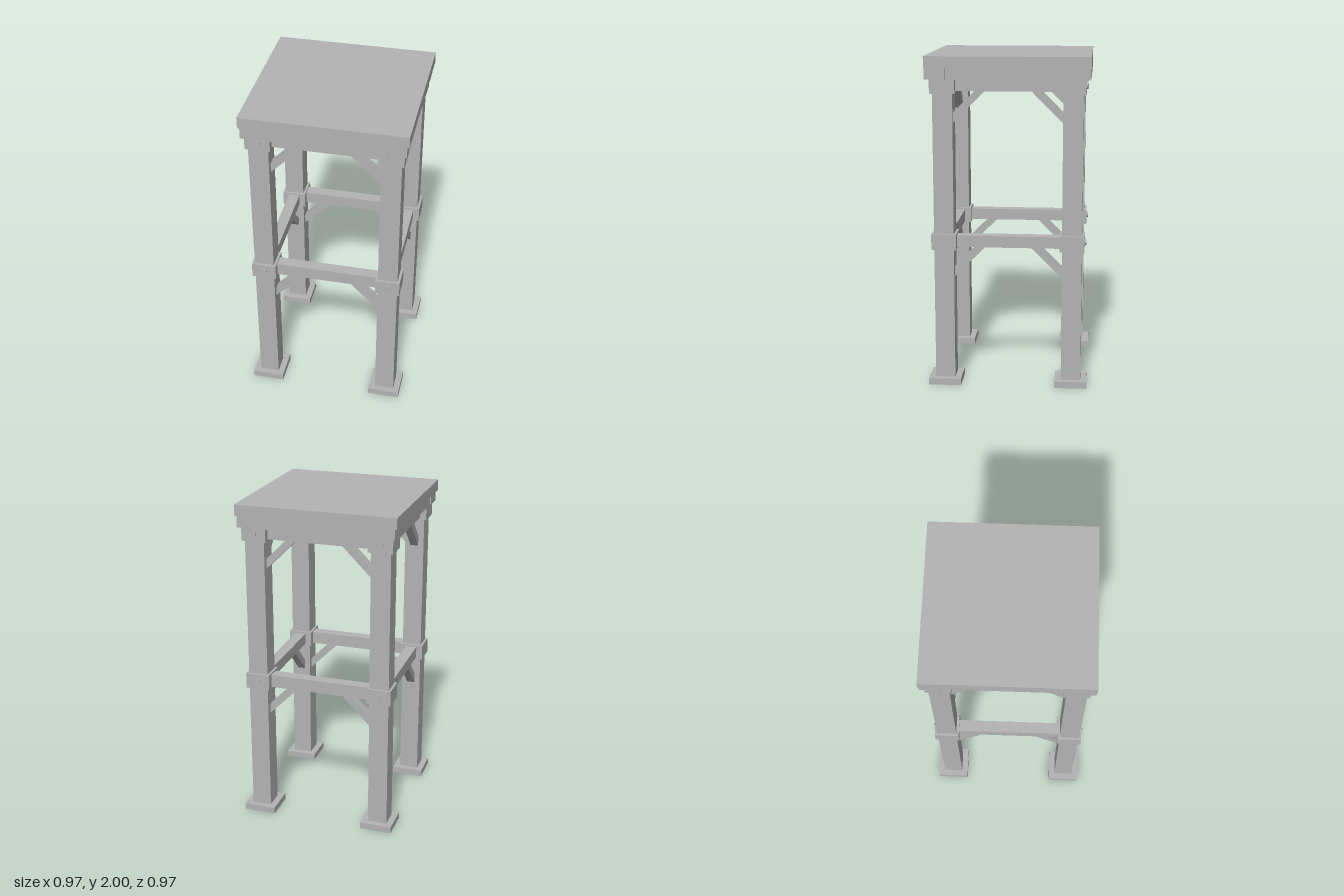
import * as THREE from 'three';

export function createModel() {
  const model = new THREE.Group();
  model.name = 'timberTower';
  const grey = new THREE.MeshStandardMaterial({ color: 0xb3b3b3 });
  grey.name = 'plain grey';

  const LEG = 0.383; // leg centre on x and z
  const HALF = 0.0595; // half the leg width

  function add(parent, name, geometry, x, y, z) {
    const mesh = new THREE.Mesh(geometry, grey);
    mesh.name = name;
    mesh.position.set(x, y, z);
    parent.add(mesh);
    return mesh;
  }
  // Box given by its bottom and top heights
  function box(parent, name, w, d, y0, y1, x = 0, z = 0) {
    return add(parent, name, new THREE.BoxGeometry(w, y1 - y0, d), x, (y0 + y1) / 2, z);
  }

  // Platform: slab on a frame, front and back beams flush with its edge
  box(model, 'topSlab', 0.97, 0.97, 1.933, 2);
  for (const s of [-1, 1]) {
    box(model, 'frameBeamFrontBack', 0.945, 0.12, 1.866, 1.933, 0, s * 0.424);
    box(model, 'frameBeamSide', 0.12, 0.728, 1.866, 1.933, s * 0.405, 0);
  }

  // Four corners: foot, post, two collars and their bolts
  for (const sx of [-1, 1]) {
    for (const sz of [-1, 1]) {
      const corner = new THREE.Group();
      corner.name = 'cornerPost';
      corner.position.set(sx * LEG, 0, sz * LEG);
      box(corner, 'foot', 0.196, 0.196, 0, 0.04);
      box(corner, 'post', HALF * 2, HALF * 2, 0.04, 1.866);
      for (const [y0, y1, boltY] of [[0.845, 0.94, 0.895], [1.78, 1.868, 1.828]]) {
        box(corner, 'collar', 0.149, 0.149, y0, y1);
        const bolt = new THREE.CylinderGeometry(0.019, 0.019, 0.02, 8);
        bolt.rotateX(Math.PI / 2);
        add(corner, 'bolt', bolt, 0, boltY, sz * 0.075);
      }
      model.add(corner);
    }
  }

  // Rails and 45 degree braces on each side, at two levels
  for (let side = 0; side < 4; side++) {
    const group = new THREE.Group();
    group.name = 'sideBracing';
    group.rotation.y = side * Math.PI / 2;
    const inset = side % 2 ? 0.004 : 0; // side rails are a little slimmer
    for (const [y0, y1] of [[0.853, 0.931], [1.79, 1.866]]) {
      box(group, 'rail', 0.66, 0.07, y0 + inset, y1 - inset, 0, LEG);
      for (const s of [-1, 1]) {
        const brace = add(group, 'brace', new THREE.BoxGeometry(0.27, 0.043, 0.05),
          s * 0.2465, y0 - 0.075, LEG);
        brace.rotation.z = -s * Math.PI / 4;
      }
    }
    model.add(group);
  }
  return model;
}
